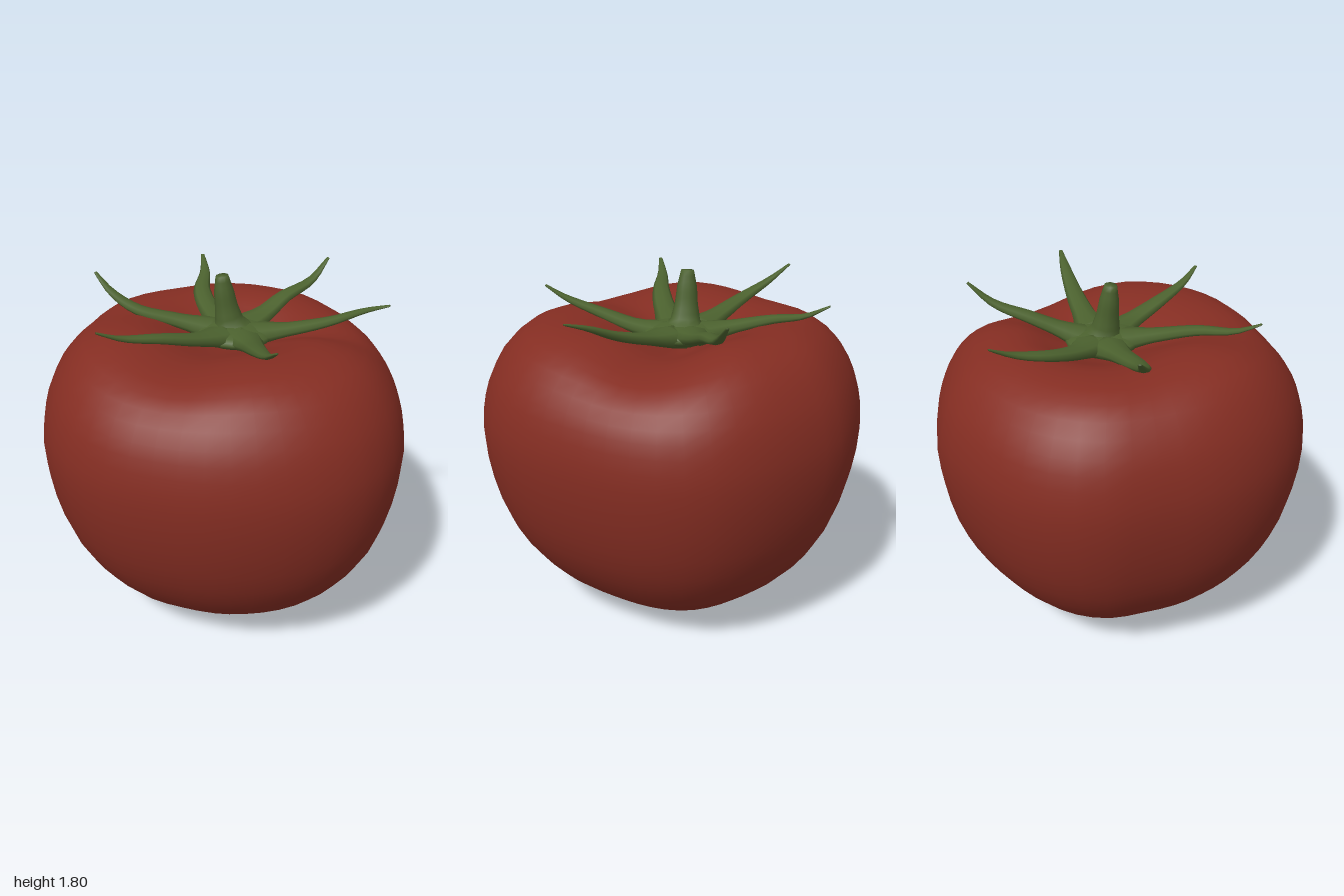
import * as THREE from 'three';
import { mergeVertices } from 'three/addons/utils/BufferGeometryUtils.js';

// Skins a stack of closed rings (arrays of Vector3) with smooth normals
function skin(rings) {
  const n = rings[0].length;
  const index = [];
  for (let i = 0; i < rings.length - 1; i++) {
    for (let j = 0; j < n; j++) {
      const a = i * n + j, b = i * n + (j + 1) % n;
      index.push(a, a + n, b, b, a + n, b + n);
    }
  }
  let geometry = new THREE.BufferGeometry().setFromPoints(rings.flat());
  geometry.setIndex(index);
  geometry = mergeVertices(geometry, 1e-5);
  geometry.computeVertexNormals();
  return geometry;
}

// Tapered tube along a curve; radii are spread evenly over its length
function taper(points, radii, flat, ref, steps = 14, sides = 8) {
  const curve = new THREE.CatmullRomCurve3(points.map((p) => new THREE.Vector3(...p)));
  const rings = [];
  const addRing = (t, r) => {
    const p = curve.getPointAt(t), tangent = curve.getTangentAt(t);
    const side = tangent.clone().cross(ref).normalize();
    const up = side.clone().cross(tangent);
    rings.push(Array.from({ length: sides }, (_, j) => {
      const a = j / sides * Math.PI * 2;
      return p.clone().addScaledVector(side, Math.cos(a) * r)
        .addScaledVector(up, Math.sin(a) * r * flat);
    }));
  };
  addRing(0, 0);
  for (let i = 0; i <= steps; i++) {
    const f = i / steps * (radii.length - 1), k = Math.min(Math.floor(f), radii.length - 2);
    addRing(i / steps, THREE.MathUtils.lerp(radii[k], radii[k + 1], f - k));
  }
  addRing(1, 0);
  return skin(rings);
}

export function createModel() {
  const group = new THREE.Group();
  const red = new THREE.MeshStandardMaterial({ name: 'tomato red', color: 0x842d22 });
  const green = new THREE.MeshStandardMaterial({ name: 'stem green', color: 0x4b612e });
  const add = (geometry, material, name, parent = group) => {
    const mesh = new THREE.Mesh(geometry, material);
    mesh.name = name;
    parent.add(mesh);
    return mesh;
  };

  // Fruit: lobed outline every 15 degrees, starting at +x and turning to +z
  const outline = [0.965, 0.945, 0.915, 0.91, 0.945, 0.985, 0.995, 0.975, 0.95, 0.935, 0.93, 0.955,
    0.97, 0.97, 0.955, 0.94, 0.94, 0.985, 0.995, 0.98, 0.965, 0.97, 0.95, 0.955];
  // Rise and fall of the shoulder at the same angles
  const shoulder = [-0.04, -0.08, -0.09, -0.05, -0.01, 0.01, 0.015, 0.015, 0.01, -0.01, -0.035, -0.025,
    0.005, 0.03, 0.03, 0.015, 0, 0, 0, 0, 0.01, 0.01, 0.01, 0];
  const rim = new THREE.CatmullRomCurve3(outline.map((o, j) => {
    const a = j / outline.length * Math.PI * 2;
    return new THREE.Vector3(Math.cos(a) * o, shoulder[j], Math.sin(a) * o);
  }), true);
  const rimPoints = Array.from({ length: 48 }, (_, j) => rim.getPoint(j / 48));

  // Profile: radius, height, share of shoulder offset
  const profile = new THREE.CatmullRomCurve3([
    [0, 0, 0], [0.18, 0.012, 0], [0.4, 0.068, 0], [0.6, 0.165, 0],
    [0.77, 0.33, 0], [0.9, 0.54, 0], [0.975, 0.79, 0], [1, 1.03, 0],
    [0.975, 1.2, 0.1], [0.925, 1.33, 0.3], [0.82, 1.465, 0.7], [0.67, 1.54, 1],
    [0.5, 1.553, 1], [0.34, 1.515, 0.7], [0.18, 1.46, 0.3], [0, 1.425, 0],
  ].map((p) => new THREE.Vector3(...p)));
  const fruitRings = profile.getPoints(30).map(({ x: r, y, z: rise }) => {
    // the hollow at the top leans towards the stem
    const shift = y > 1 ? 1 - THREE.MathUtils.smoothstep(r, 0.15, 0.75) : 0;
    return rimPoints.map((p) =>
      new THREE.Vector3(p.x * r + 0.06 * shift, y + p.y * rise, p.z * r - 0.04 * shift));
  });
  add(skin(fruitRings), red, 'fruit');

  // Calyx: flat hub with six curling sepals
  const calyx = new THREE.Group();
  calyx.name = 'calyx';
  group.add(calyx);
  const hub = add(new THREE.SphereGeometry(0.19, 24, 12), green, 'calyxHub', calyx);
  hub.scale.set(1, 0.28, 1.1);
  hub.position.set(0.07, 1.5, -0.03);

  const sepals = [
    [[0.02, 1.49, -0.02], [-0.2, 1.54, 0.01], [-0.4, 1.595, 0], [-0.6, 1.635, -0.04], [-0.72, 1.69, -0.05]],
    [[0.04, 1.49, -0.1], [-0.12, 1.535, -0.28], [-0.25, 1.575, -0.43], [-0.31, 1.64, -0.58], [-0.33, 1.72, -0.7]],
    [[0.09, 1.49, -0.1], [0.12, 1.53, -0.3], [0.19, 1.575, -0.46], [0.31, 1.62, -0.59], [0.37, 1.68, -0.69]],
    [[0.12, 1.49, -0.05], [0.3, 1.535, -0.06], [0.45, 1.585, -0.08], [0.65, 1.635, -0.08], [0.78, 1.73, -0.09]],
    [[0.12, 1.49, 0.02], [0.25, 1.53, 0.17], [0.38, 1.595, 0.34], [0.48, 1.67, 0.48], [0.54, 1.71, 0.58]],
    [[0.06, 1.49, 0.03], [-0.01, 1.52, 0.2], [-0.1, 1.57, 0.36], [-0.19, 1.63, 0.53], [-0.23, 1.69, 0.63]],
  ];
  const up = new THREE.Vector3(0, 1, 0);
  sepals.forEach((path, i) =>
    add(taper(path, [0.12, 0.065, 0.05, 0.033, 0.01], 0.5, up), green, `sepal${i + 1}`, calyx));

  // Stem: short, leaning stalk flared at its foot
  const stemPath = [[0.07, 1.48, -0.04], [0.05, 1.57, -0.05], [0.03, 1.7, -0.06], [0.018, 1.8, -0.065]];
  add(taper(stemPath, [0.14, 0.075, 0.058, 0.05, 0.032], 1, new THREE.Vector3(0, 0, 1), 12, 10), green, 'stem');

  return group;
}
